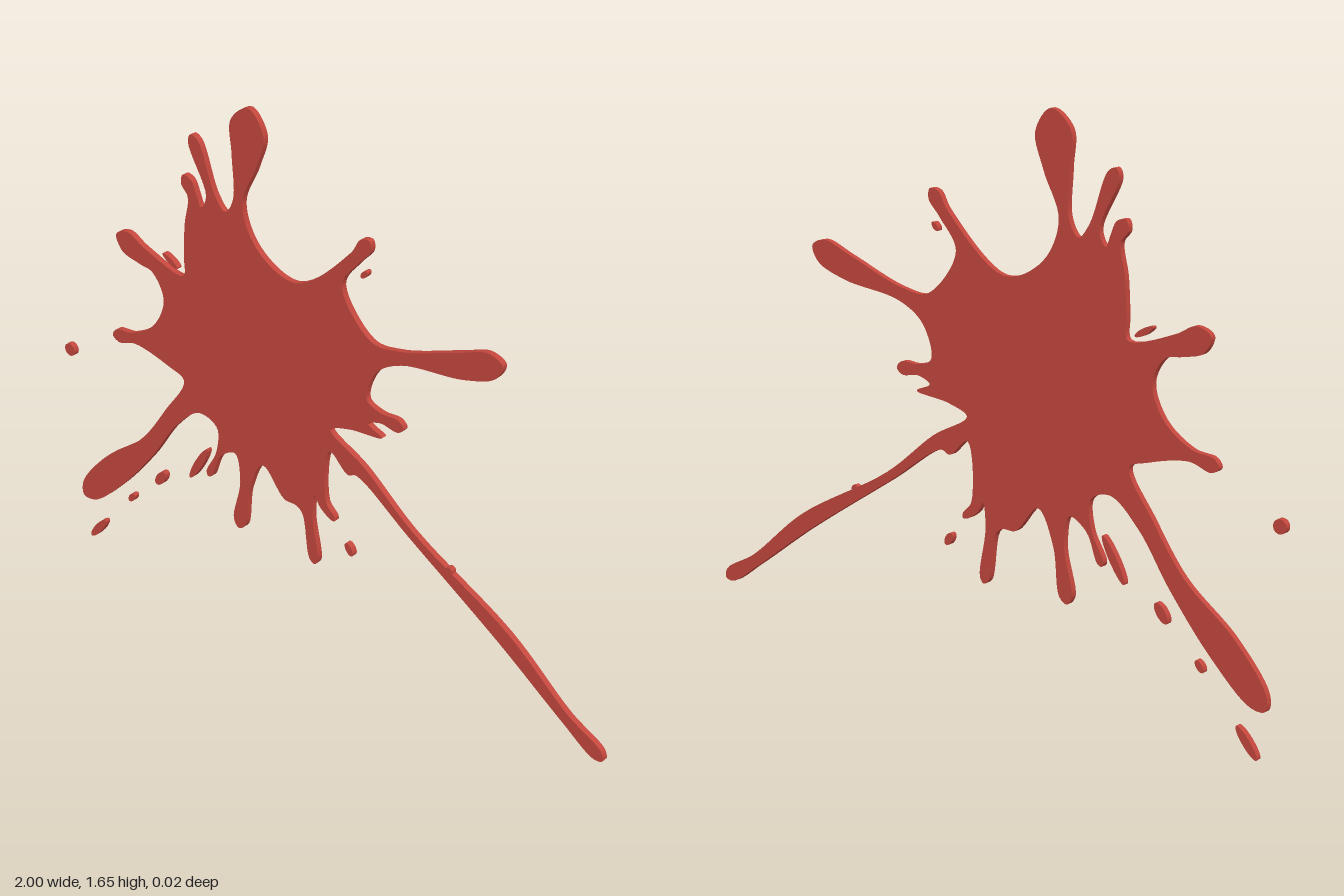
import * as THREE from 'three';
import { toCreasedNormals } from 'three/addons/utils/BufferGeometryUtils.js';

const DEPTH = 0.018;
const UNIT = 0.01; // plan coordinates below are in hundredths
const CENTRE = new THREE.Vector2(-20, 90); // point of impact: fingers and drops fly out from here

const outward = (x, y) => new THREE.Vector2(x, y).sub(CENTRE).normalize();

// Clockwise outline: two numbers are a valley, four a finger pointing away from the
// centre (tip x, y, half width, length), more are an arm's stations (x, y, half width)
const OUTLINE = [
  // top bulb
  [-28.8, 136, 1.7, -26.3, 149, 4.4, -25, 159, 5.9],
  [-22, 124], [-8.5, 118.3],
  // right side
  [16, 137.7, 2.1, 6],
  [8, 123], [18, 110],
  [28, 108.4, 2, 48, 113.5, 3.8, 58, 117.2, 3.5],
  [20, 101], [17, 91.5],
  [27.8, 87.3, 1.9, 6],
  [17.6, 84.1], [22.4, 81.6], [10.7, 79.8], [4.2, 77],
  // long streak
  [15, 67.8, 2.3, 33, 54.8, 1.3, 65.7, 35, 2.6, 86.5, 19, 1.8, 97.7, 12, 2.1],
  [10.4, 65], [4, 70],
  // bottom fingers
  [1.5, 51.5, 1.7, 5, 48.3, 1],
  [-1.5, 53.2],
  [-4.3, 45.6, 1.9, -2, 31.4, 1.6],
  [-8.5, 47], [-13, 47.3], [-20.8, 55.3],
  [-30.4, 32, 2.2, 14],
  [-31.5, 55],
  [-42, 44, 1.1, 9],
  [-38.5, 61], [-45, 63.3],
  // lower left streak
  [-56.6, 57.4, 2.8, -67, 43, 3, -81.7, 28.6, 4.9, -93, 16.8, 3.3],
  [-51, 72], [-57, 74.5],
  // left side
  [-77.3, 77.2, 2, 7],
  [-62, 86.5], [-58, 96], [-62, 103.3],
  [-72.6, 109.7, 3.6, 7],
  [-50, 106.3], [-49.5, 113], [-48.8, 123],
  // upper left fingers
  [-47.8, 136.2, 2.2, 4],
  [-42.5, 130.2],
  [-44.8, 149.3, 2, 15.5],
  [-33.6, 131.6],
];

// Loose drops, drawn out away from the centre: x, y, half length, half width
const DROPS = {
  leftDot: [-98, 64.9, 2, 2],
  lowestDrop: [-89.7, 4.4, 5.2, 1.3],
  lowerLeftDrop: [-62, 34, 3.2, 1.5],
  lowerLeftSpeck: [-74.5, 22, 1.9, 1],
  bottomStreakDrop: [-46.2, 45.6, 7.2, 1.3],
  bottomRightDrop: [11, 40.3, 2.1, 1.2],
  upperRightSpeck: [15.5, 129, 1.5, 0.8],
  upperLeftDrop: [-55, 109.3, 3.2, 0.9],
  streakNub: [46.2, 48.6, 1.2, 1.2],
};

// Both edges of an arm, out along its left, round the tip and back
function armEdges(stations) {
  const left = [], right = [];
  let tip;
  stations.forEach((s, i) => {
    const from = stations[Math.max(i - 1, 0)], to = stations[Math.min(i + 1, stations.length - 1)];
    const d = new THREE.Vector2(to.x - from.x, to.y - from.y).normalize();
    left.push(new THREE.Vector3(s.x - d.y * s.z, s.y + d.x * s.z, 0));
    right.unshift(new THREE.Vector3(s.x + d.y * s.z, s.y - d.x * s.z, 0));
    tip = new THREE.Vector3(s.x + d.x * s.z, s.y + d.y * s.z, 0);
  });
  return [...left, tip, ...right];
}

function entryPoints(entry) {
  const [x, y, w, length] = entry;
  if (entry.length === 2) return [new THREE.Vector3(x, y, 0)];
  if (entry.length === 4) {
    const root = new THREE.Vector2(x, y).addScaledVector(outward(x, y), -length);
    return armEdges([new THREE.Vector3(root.x, root.y, w * 0.85), new THREE.Vector3(x, y, w)]);
  }
  const stations = [];
  for (let i = 0; i < entry.length; i += 3) stations.push(new THREE.Vector3().fromArray(entry, i));
  return armEdges(stations);
}

export function createModel() {
  const group = new THREE.Group();
  group.name = 'paintSplat';
  const material = new THREE.MeshStandardMaterial({ color: 0xc4473d });

  const addSlab = (name, points) => {
    const shape = new THREE.Shape(points.map((p) => new THREE.Vector2(p.x * UNIT, p.y * UNIT)));
    const geometry = new THREE.ExtrudeGeometry(shape, { depth: DEPTH, bevelEnabled: false });
    geometry.translate(0, 0, -DEPTH / 2);
    const mesh = new THREE.Mesh(toCreasedNormals(geometry, 0.6), material);
    mesh.name = name;
    group.add(mesh);
  };

  // main splat, smoothed by a closed curve
  const corners = OUTLINE.flatMap(entryPoints);
  const curve = new THREE.CatmullRomCurve3(corners, true, 'centripetal');
  addSlab('splat', curve.getPoints(corners.length * 8).slice(0, -1));

  // loose drops
  for (const [name, [x, y, a, b]] of Object.entries(DROPS)) {
    const ellipse = new THREE.EllipseCurve(x, y, a, b, 0, Math.PI * 2, false, outward(x, y).angle());
    addSlab(name, ellipse.getPoints(28).slice(0, -1));
  }
  return group;
}
